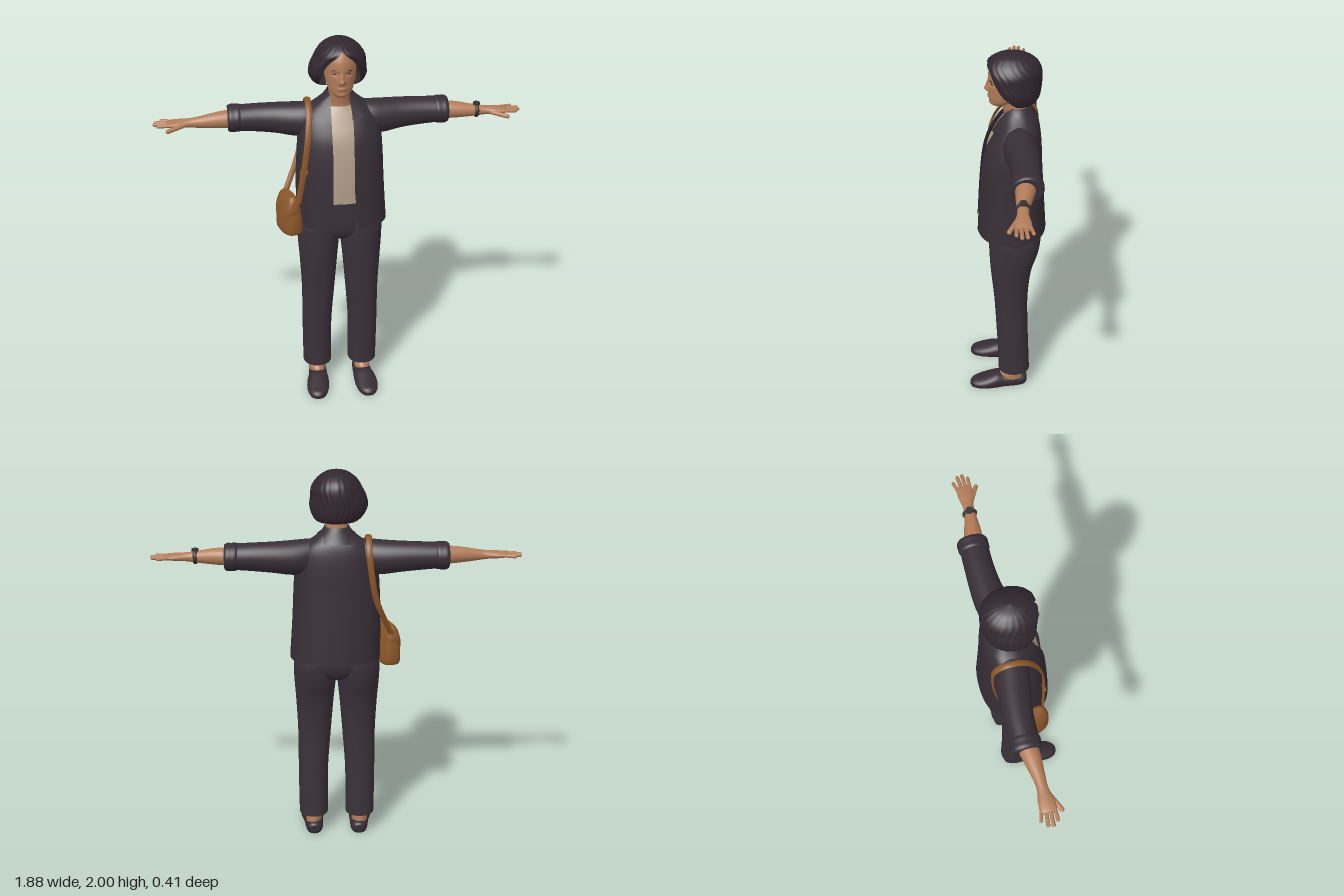
import * as THREE from 'three';

const V = (x, y, z) => new THREE.Vector3(x, y, z);
const mat = (name, color, double) => {
  const m = new THREE.MeshStandardMaterial({ color });
  m.name = name;
  if (double) m.side = THREE.DoubleSide;
  return m;
};

// Joins rings of points into a smooth surface, with optional flat end caps
function skin(rings, closed = true, caps = false) {
  const m = rings[0].length, pos = [], idx = [];
  rings.forEach(r => r.forEach(q => pos.push(q.x, q.y, q.z)));
  for (let i = 0; i < rings.length - 1; i++)
    for (let j = 0; j < (closed ? m : m - 1); j++) {
      const k = (j + 1) % m, a = i * m + j, b = a + m, c = i * m + k, d = c + m;
      idx.push(a, b, c, c, b, d);
    }
  if (caps) [rings[0], rings[rings.length - 1]].forEach((r, end) => {
    const base = pos.length / 3, mid = V(0, 0, 0);
    r.forEach(q => { mid.addScaledVector(q, 1 / m); pos.push(q.x, q.y, q.z); });
    pos.push(mid.x, mid.y, mid.z);
    for (let j = 0; j < m; j++) {
      const k = (j + 1) % m;
      if (end) idx.push(base + m, base + k, base + j);
      else idx.push(base + m, base + j, base + k);
    }
  });
  const g = new THREE.BufferGeometry();
  g.setAttribute('position', new THREE.Float32BufferAttribute(pos, 3));
  g.setIndex(idx);
  g.computeVertexNormals();
  return g;
}

const AXES = {
  y: (t, u, v) => V(u, t, v), // u = x, v = z
  x: (t, u, v) => V(t, v, u), // u = z, v = y
  z: (t, u, v) => V(v, u, t), // u = y, v = x
};

// Row: [position, centre u, centre v, radius u, radius v, front gap on -x, front gap on +x]
function loft(rows, { axis = 'y', n = 40, p = 1, steps = 5, caps = true, open = false, swell, tweak } = {}) {
  const col = (i, c) => rows[Math.min(rows.length - 1, Math.max(0, i))][c] ?? 0;
  const pow = x => Math.sign(x) * Math.abs(x) ** p;
  const rings = [];
  for (let s = 0; s <= (rows.length - 1) * steps; s++) {
    const i = Math.min(rows.length - 2, Math.floor(s / steps)), f = s / steps - i;
    const [t, cu, cv, ru, rv, gn, gp] = [0, 1, 2, 3, 4, 5, 6].map(c => {
      const a = col(i - 1, c), b = col(i, c), d = col(i + 1, c), e = col(i + 2, c);
      return b + 0.5 * f * (d - a + f * (2 * a - 5 * b + 4 * d - e + f * (3 * (b - d) + e - a)));
    });
    const gap = w => ru > 1e-4 ? Math.asin(Math.min(1, Math.max(0, w / ru)) ** (1 / p)) : 0;
    const a0 = open ? Math.PI / 2 + gap(gn) : 0;
    const a1 = open ? Math.PI * 2.5 - gap(gp) : Math.PI * 2;
    const ring = [];
    for (let j = 0; j < (open ? n + 1 : n); j++) {
      const a = a0 + (a1 - a0) * j / n, k = swell ? swell(j / n, gn) : 1;
      const q = AXES[axis](t, cu + ru * k * pow(Math.cos(a)), cv + rv * k * pow(Math.sin(a)));
      if (tweak) tweak(q);
      ring.push(q);
    }
    rings.push(ring);
  }
  return skin(rings, !open, caps && !open);
}

function mirror(g) {
  const m = g.clone().scale(-1, 1, 1), ix = m.index.array;
  for (let i = 0; i < ix.length; i += 3) [ix[i], ix[i + 1]] = [ix[i + 1], ix[i]];
  return m;
}

// Rounded rod between two points
function rod(a, b, r) {
  const d = b.clone().sub(a), mid = a.clone().add(b).multiplyScalar(0.5);
  const g = new THREE.CapsuleGeometry(r, d.length(), 6, 12);
  g.applyQuaternion(new THREE.Quaternion().setFromUnitVectors(V(0, 1, 0), d.normalize()));
  return g.translate(mid.x, mid.y, mid.z);
}

export function createModel() {
  const model = new THREE.Group();
  model.name = 'standingWoman';
  const jacketM = mat('jacketCloth', 0x372e36, true), trouserM = mat('trouserCloth', 0x3a3139);
  const hairM = mat('hair', 0x31272f, true), skinM = mat('skin', 0xb27c59);
  const shirtM = mat('shirtCloth', 0xb3a08a, true), leather = mat('leather', 0x8c5729);
  const shoeM = mat('shoe', 0x352c33), watchM = mat('watch', 0x393432), lipM = mat('lips', 0x9c6049);
  const add = (name, g, m) => {
    const mesh = new THREE.Mesh(g, m);
    mesh.name = name;
    model.add(mesh);
    return mesh;
  };
  const pair = (name, g, m) => { add(name + 'Left', g, m); add(name + 'Right', mirror(g), m); };
  const ball = (x, y, z, rx, ry, rz) => new THREE.SphereGeometry(1, 20, 12).scale(rx, ry, rz).translate(x, y, z);

  // Head with modelled nose, eye sockets, mouth and chin
  const bump = (q, x, y, wx, wy, d) => {
    q.z += d * Math.exp(-(((q.x - x) / wx) ** 2) - ((q.y - y) / wy) ** 2);
  };
  add('head', loft([
    [1.715, 0, .045, .02, .022], [1.73, 0, .038, .043, .046], [1.755, 0, .018, .062, .07],
    [1.79, 0, 0, .073, .09], [1.83, 0, -.01, .08, .102], [1.87, 0, -.02, .083, .114],
    [1.91, 0, -.025, .08, .113], [1.95, 0, -.03, .066, .095], [1.98, 0, -.03, .03, .045],
  ], {
    n: 96, steps: 8, tweak: q => {
      if (q.z < .03) return;
      bump(q, 0, 1.805, .015, .013, .02);
      bump(q, 0, 1.828, .011, .022, .013);
      bump(q, 0, 1.768, .026, .01, .006);
      bump(q, 0, 1.735, .02, .012, .005);
      for (const s of [-1, 1]) bump(q, s * .033, 1.845, .018, .011, -.008);
    },
  }), skinM);
  add('neck', loft([[1.58, 0, -.05, .075, .07], [1.65, 0, -.047, .062, .062], [1.7, 0, -.035, .056, .058],
    [1.76, 0, -.025, .056, .06]]), skinM);
  pair('eye', ball(.033, 1.845, .073, .012, .0055, .006), hairM);
  pair('eyebrow', ball(.034, 1.864, .08, .017, .003, .006).rotateZ(0), hairM);
  add('lips', ball(0, 1.768, .092, .02, .006, .006), lipM);

  // Bobbed hair: strands ripple and the front edges turn in towards the face
  add('hair', loft([
    [1.75, 0, -.05, .065, .06, .06, .06], [1.748, 0, -.05, .1, .09, .098, .098], [1.775, -.005, -.04, .128, .12, .115, .122],
    [1.82, -.01, -.03, .146, .138, .103, .123], [1.87, -.008, -.025, .14, .146, .087, .1], [1.91, 0, -.025, .128, .143, .06, .067],
    [1.94, 0, -.025, .112, .132, .02, .026], [1.965, 0, -.025, .089, .108, 0, 0], [1.988, 0, -.025, .053, .065, 0, 0],
    [2, 0, -.025, .001, .001, 0, 0],
  ], {
    open: true, n: 120, swell: (s, gap) => {
      const edge = Math.max(0, 1 - Math.min(s, 1 - s) / .08) ** 2;
      return 1 - .14 * edge * Math.min(1, Math.max(0, gap) / .05) + .008 * Math.cos(s * Math.PI * 44);
    },
  }), hairM);

  // Shirt
  add('shirt', loft([[1.15, 0, -.02, .19, .14], [1.27, 0, -.02, .185, .142], [1.4, 0, -.022, .18, .138],
    [1.5, 0, -.03, .17, .128], [1.58, 0, -.045, .145, .105], [1.625, 0, -.05, .105, .085], [1.65, 0, -.05, .072, .07]],
  { caps: false, p: .9 }), shirtM);

  // Open jacket, collar and lapels
  add('jacketBody', loft([
    [1.02, .008, -.02, .235, .18, .058, .07], [1.12, .004, -.02, .232, .174, .055, .066], [1.25, 0, -.02, .228, .166, .05, .06],
    [1.4, 0, -.022, .221, .155, .048, .06], [1.5, 0, -.03, .213, .143, .05, .06], [1.58, 0, -.045, .197, .12, .05, .06],
    [1.63, 0, -.055, .16, .098, .05, .055], [1.665, 0, -.055, .112, .08, .05, .05], [1.695, 0, -.055, .075, .066, .046, .046],
  ], { open: true, n: 72, p: .85 }), jacketM);
  add('collar', loft([[1.645, 0, -.057, .125, .098, .075, .075], [1.675, 0, -.056, .097, .082, .062, .062],
    [1.705, 0, -.055, .072, .068, .05, .05], [1.72, 0, -.053, .063, .06, .046, .046]], { open: true }), jacketM);
  pair('lapel', skin([[V(.055, 1.6, .078), V(.115, 1.608, .061)], [V(.053, 1.655, .045), V(.108, 1.64, .038)],
    [V(.048, 1.705, .0), V(.095, 1.672, .004)]], false), jacketM);

  // Sleeves with rolled cuffs
  pair('sleeve', loft([[.1, -.055, 1.57, .07, .085], [.17, -.06, 1.562, .085, .09], [.24, -.07, 1.561, .085, .087],
    [.32, -.08, 1.566, .078, .079], [.42, -.085, 1.57, .073, .072], [.53, -.085, 1.572, .072, .065]], { axis: 'x' }), jacketM);
  pair('cuff', loft([[.495, -.086, 1.572, .068, .064], [.508, -.086, 1.572, .077, .07], [.53, -.087, 1.571, .078, .07],
    [.552, -.087, 1.571, .078, .07], [.565, -.087, 1.571, .07, .062]], { axis: 'x' }), jacketM);

  // Forearms, palms and fingers
  pair('forearm', loft([[.53, -.08, 1.572, .052, .048], [.62, -.07, 1.57, .042, .041], [.69, -.063, 1.567, .032, .032],
    [.74, -.06, 1.566, .027, .025], [.775, -.059, 1.566, .031, .021], [.81, -.058, 1.566, .039, .019],
    [.85, -.058, 1.566, .041, .015], [.87, -.059, 1.566, .037, .01]], { axis: 'x', n: 28 }), skinM);
  [[-.09, -.104, .9, .0085], [-.069, -.077, .928, .0095], [-.048, -.052, .932, .0095], [-.027, -.027, .912, .009]]
    .forEach(([z0, z1, x, r], i) => pair('finger' + (i + 1), rod(V(.845, 1.567, z0), V(x, 1.565, z1), r), skinM));
  pair('thumb', rod(V(.785, 1.562, -.036), V(.865, 1.55, .004), .0115), skinM);

  // Wristwatch on the left arm
  add('watchStrap', new THREE.TorusGeometry(.031, .007, 10, 32).rotateY(Math.PI / 2).scale(1.5, 1, 1)
    .translate(.714, 1.567, -.062), watchM);
  add('watchCase', new THREE.CylinderGeometry(.018, .018, .012, 24).translate(.714, 1.603, -.062), watchM);

  // Trousers
  add('trouserHips', loft([[.905, 0, -.035, .12, .07], [.94, 0, -.038, .2, .115], [1, 0, -.04, .224, .135],
    [1.08, 0, -.038, .205, .135], [1.18, 0, -.03, .175, .125]]), trouserM);
  add('waistband', loft([[1.115, 0, -.033, .196, .136], [1.14, 0, -.032, .192, .135], [1.165, 0, -.031, .184, .13]]), trouserM);
  pair('trouserLeg', loft([[.115, .125, -.035, .077, .085], [.25, .126, -.031, .078, .084], [.4, .125, -.025, .08, .085],
    [.6, .118, -.018, .088, .089], [.78, .115, -.018, .1, .106], [.9, .113, -.032, .11, .127],
    [.99, .111, -.038, .112, .134], [1.06, .1, -.038, .1, .125]], { p: .95 }), trouserM);

  // Feet and slip-on shoes
  pair('ankle', loft([[.03, .125, -.02, .042, .066], [.075, .126, -.022, .041, .064], [.105, .125, -.032, .036, .05],
    [.15, .125, -.035, .034, .043]]), skinM);
  pair('shoe', loft([[-.106, .03, .122, .022, .018], [-.09, .03, .122, .034, .04], [-.04, .028, .123, .042, .048],
    [.02, .028, .126, .044, .052], [.06, .03, .13, .048, .058], [.11, .024, .135, .039, .061],
    [.16, .018, .138, .029, .054], [.193, .014, .14, .023, .037], [.208, .012, .14, .01, .014]],
  { axis: 'z', p: .9, tweak: q => { q.y = Math.max(0, q.y); } }), shoeM);

  // Shoulder bag at the right hip with flap, strap and buckle
  const place = g => g.rotateY(.33).translate(-.268, 0, .015);
  add('bagBody', place(loft([[.968, 0, 0, .035, .07], [.98, 0, 0, .053, .09], [1.04, 0, 0, .053, .094], [1.11, 0, 0, .044, .086],
    [1.16, 0, 0, .03, .074], [1.175, 0, 0, .016, .06]], { p: .7 })), leather);
  add('bagFlap', place(loft([[1.06, -.005, 0, .055, .08], [1.11, -.004, 0, .049, .09], [1.16, -.002, 0, .034, .079],
    [1.181, 0, 0, .018, .062]], { p: .7 })), leather);
  const path = new THREE.CatmullRomCurve3([
    V(-.225, 1.15, .085), V(-.192, 1.35, .094), V(-.172, 1.5, .086), V(-.16, 1.61, .037), V(-.16, 1.662, -.03),
    V(-.16, 1.662, -.09), V(-.16, 1.61, -.145), V(-.172, 1.5, -.158), V(-.2, 1.35, -.14), V(-.285, 1.14, -.06),
  ]);
  const strap = path.getPoints(80).map((c, i) => {
    const across = V(1, 0, 0), up = path.getTangent(i / 80).cross(across).normalize();
    return Array.from({ length: 10 }, (_, j) => {
      const a = j / 10 * Math.PI * 2;
      return c.clone().addScaledVector(across, .016 * Math.cos(a)).addScaledVector(up, -.006 * Math.sin(a));
    });
  });
  add('bagStrap', skin(strap, true, true), leather);
  add('strapBuckle', new THREE.BoxGeometry(.04, .02, .016).translate(-.195, 1.33, .095), leather);

  return model;
}
